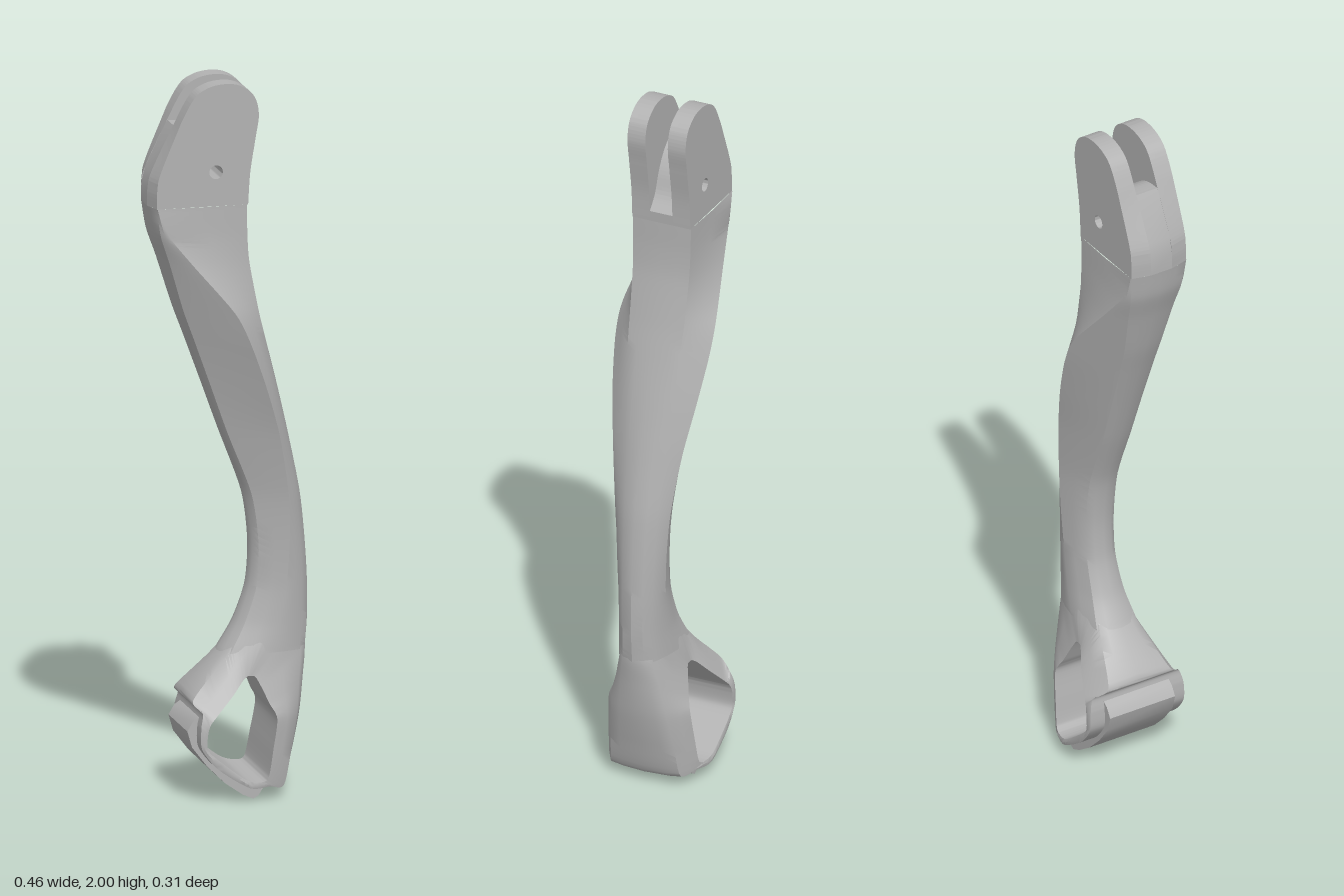
import * as THREE from 'three';
import { toCreasedNormals } from 'three/addons/utils/BufferGeometryUtils.js';

const V = (x, y, z) => new THREE.Vector3(x, y, z);

// Mirror a half section (z >= 0) to a full loop of points
function mirrorLoop(half) {
  const back = half.filter((p) => p.z > 1e-6).reverse().map((p) => V(p.x, p.y, -p.z));
  return [...half, ...back];
}

// Skin a list of equally sized section loops with smooth curves along the length
function loft(sections, steps, closed, crease) {
  const n = sections[0].length;
  const cols = sections[0].map((_, j) =>
    new THREE.CatmullRomCurve3(sections.map((s) => s[j]), closed, 'catmullrom', 0.4));
  const pos = [];
  const idx = [];
  for (let i = 0; i <= steps; i++) {
    for (const c of cols) pos.push(...c.getPoint(i / steps).toArray());
  }
  for (let i = 0; i < steps; i++) {
    for (let j = 0; j < n; j++) {
      const a = i * n + j, b = i * n + (j + 1) % n;
      idx.push(a, b, b + n, a, b + n, a + n);
    }
  }
  // Keep the faces pointing outwards
  const p = (k) => V(pos[3 * k], pos[3 * k + 1], pos[3 * k + 2]);
  let volume = 0;
  for (let k = 0; k < idx.length; k += 3) {
    volume += p(idx[k]).dot(p(idx[k + 1]).cross(p(idx[k + 2])));
  }
  if (volume < 0) idx.reverse();
  const g = new THREE.BufferGeometry();
  g.setAttribute('position', new THREE.Float32BufferAttribute(pos, 3));
  g.setIndex(idx);
  return toCreasedNormals(g, crease);
}

// Flat slab between two z values
function slab(shape, z0, z1) {
  const g = new THREE.ExtrudeGeometry(shape, { depth: z1 - z0, bevelEnabled: false, curveSegments: 30 });
  g.translate(0, 0, z0);
  return g;
}

function pinHole() {
  return new THREE.Path().absarc(-0.05, 1.755, 0.019, 0, Math.PI * 2, true);
}

export function createModel() {
  const group = new THREE.Group();
  const metal = new THREE.MeshStandardMaterial({ color: 0xb2b2b2 });
  metal.name = 'grey metal';
  const add = (name, geometry) => {
    const m = new THREE.Mesh(geometry, metal);
    m.name = name;
    group.add(m);
  };

  // Arm: y, left x, left half depth, crease x, crease half depth, right x, right half depth, left and right rounding
  const rows = [
    [1.66, -0.23, 0.086, -0.213, 0.088, 0.04, 0.088, 0.014, 0.003],
    [1.58, -0.217, 0.082, -0.18, 0.096, 0.042, 0.087, 0.014, 0.004],
    [1.5, -0.19, 0.073, -0.118, 0.112, 0.05, 0.085, 0.014, 0.006],
    [1.37, -0.15, 0.06, -0.01, 0.141, 0.077, 0.082, 0.014, 0.008],
    [1.28, -0.117, 0.055, 0.035, 0.142, 0.1, 0.079, 0.014, 0.01],
    [1.15, -0.07, 0.05, 0.083, 0.127, 0.134, 0.074, 0.014, 0.014],
    [1.01, -0.02, 0.046, 0.125, 0.105, 0.168, 0.066, 0.014, 0.018],
    [0.84, 0.042, 0.045, 0.155, 0.084, 0.204, 0.058, 0.018, 0.022],
    [0.7, 0.06, 0.045, 0.16, 0.074, 0.22, 0.054, 0.02, 0.025],
    [0.58, 0.052, 0.045, 0.152, 0.069, 0.227, 0.051, 0.022, 0.027],
    [0.48, 0.018, 0.05, 0.13, 0.072, 0.227, 0.05, 0.022, 0.028],
    [0.4, -0.028, 0.063, 0.1, 0.079, 0.221, 0.055, 0.025, 0.03],
  ];
  const armSections = rows.map(([y, xl, zl, xc, zc, xr, zr, dl, dr]) => mirrorLoop([
    V(xl, y, 0),
    V(xl + dl * 0.3, y, zl * 0.6),
    V(xl + dl, y, zl),
    V((xl + dl + xc) / 2, y, (zl + zc) / 2 + 0.003),
    V(xc, y, zc),
    V((xc + xr - dr) / 2, y, (zc + zr) / 2 + 0.003),
    V(xr - dr, y, zr),
    V(xr - dr * 0.3, y, zr * 0.6),
    V(xr, y, 0),
  ]));
  add('arm', loft(armSections, 66, false, 0.5));

  // Fork cheeks
  const cheek = new THREE.Shape();
  cheek.moveTo(0.04, 1.66);
  cheek.splineThru([[0.046, 1.75], [0.06, 1.84], [0.07, 1.91], [0.057, 1.962], [0.02, 1.992], [-0.025, 2],
    [-0.075, 1.99], [-0.115, 1.958], [-0.167, 1.86], [-0.218, 1.755], [-0.229, 1.71], [-0.23, 1.66]]
    .map(([x, y]) => new THREE.Vector2(x, y)));
  cheek.closePath();
  cheek.holes.push(pinHole());
  for (const side of [-1, 1]) {
    const g = side > 0 ? slab(cheek, 0.034, 0.088) : slab(cheek, -0.088, -0.034);
    // Draw in the outer rear edge, fading out upwards
    const p = g.attributes.position;
    for (let i = 0; i < p.count; i++) {
      if (Math.abs(p.getZ(i)) > 0.08 && p.getX(i) < -0.13) {
        p.setX(i, p.getX(i) + 0.014 * THREE.MathUtils.clamp((1.9 - p.getY(i)) / 0.18, 0, 1));
      }
    }
    add(side > 0 ? 'frontForkCheek' : 'backForkCheek', toCreasedNormals(g, 0.5));
  }

  // Web closing the fork slot
  const web = new THREE.Shape();
  web.moveTo(0.04, 1.66);
  web.lineTo(0.042, 1.69);
  web.splineThru([[0.01, 1.73], [-0.015, 1.79], [-0.05, 1.84], [-0.1, 1.872], [-0.156, 1.88]]
    .map(([x, y]) => new THREE.Vector2(x, y)));
  web.lineTo(-0.167, 1.86);
  web.lineTo(-0.218, 1.755);
  web.lineTo(-0.229, 1.71);
  web.lineTo(-0.23, 1.66);
  web.closePath();
  web.holes.push(pinHole());
  add('forkWeb', toCreasedNormals(slab(web, -0.034, 0.034), 0.5));

  // Foot ring: outer x, y, half depth, rounding, then inner x, y, half depth
  const ring = [
    [0.1, 0.46, 0.064, 0, 0.045, 0.342, 0.09],
    [0.18, 0.46, 0.052, 0, 0.06, 0.338, 0.09],
    [0.22, 0.42, 0.05, 0.16, 0.075, 0.31, 0.098],
    [0.213, 0.33, 0.068, 0.22, 0.095, 0.265, 0.11],
    [0.199, 0.23, 0.083, 0.24, 0.113, 0.225, 0.123],
    [0.176, 0.13, 0.096, 0.22, 0.1, 0.14, 0.13],
    [0.145, 0.03, 0.105, 0.15, 0.085, 0.065, 0.136],
    [0.09, 0.04, 0.132, 0, 0.06, 0.055, 0.142],
    [0.03, 0.042, 0.148, 0, 0.02, 0.065, 0.148],
    [-0.06, 0.1, 0.152, 0, -0.05, 0.118, 0.152],
    [-0.105, 0.158, 0.152, 0, -0.088, 0.155, 0.152],
    [-0.107, 0.215, 0.15, 0, -0.088, 0.2, 0.152],
    [-0.1, 0.256, 0.138, 0, -0.08, 0.223, 0.148],
    [-0.124, 0.288, 0.1, 0.1, -0.06, 0.245, 0.14],
    [-0.04, 0.385, 0.068, 0.15, -0.01, 0.295, 0.118],
    [0.012, 0.44, 0.052, 0.1, 0.02, 0.328, 0.1],
    [0.045, 0.46, 0.052, 0, 0.035, 0.34, 0.092],
  ];
  const ringSections = ring.map(([ox, oy, zo, b, ix, iy, zi]) => {
    const at = (t, z) => V(ox + (ix - ox) * t, oy + (iy - oy) * t, z);
    return mirrorLoop([
      at(1, 0), at(1, zi), at((1 + b) / 2, (zi + zo) / 2 + 0.003),
      at(b, zo), at(b * 0.35, zo * 0.65), at(0, 0),
    ]);
  });
  add('footRing', loft(ringSections, 102, true, 0.7));

  // Raised pad on the end of the foot
  const pad = new THREE.Shape([
    [-0.092, 0.245], [-0.118, 0.228], [-0.135, 0.2], [-0.122, 0.155], [-0.08, 0.1], [-0.03, 0.05], [0.02, 0.015],
    [0.05, 0.002], [0.064, 0.01], [0.085, 0.042], [0.03, 0.05], [-0.052, 0.106], [-0.095, 0.158], [-0.096, 0.21],
  ].map(([x, y]) => new THREE.Vector2(x, y)));
  add('footPad', toCreasedNormals(slab(pad, -0.105, 0.105), 0.5));

  return group;
}
